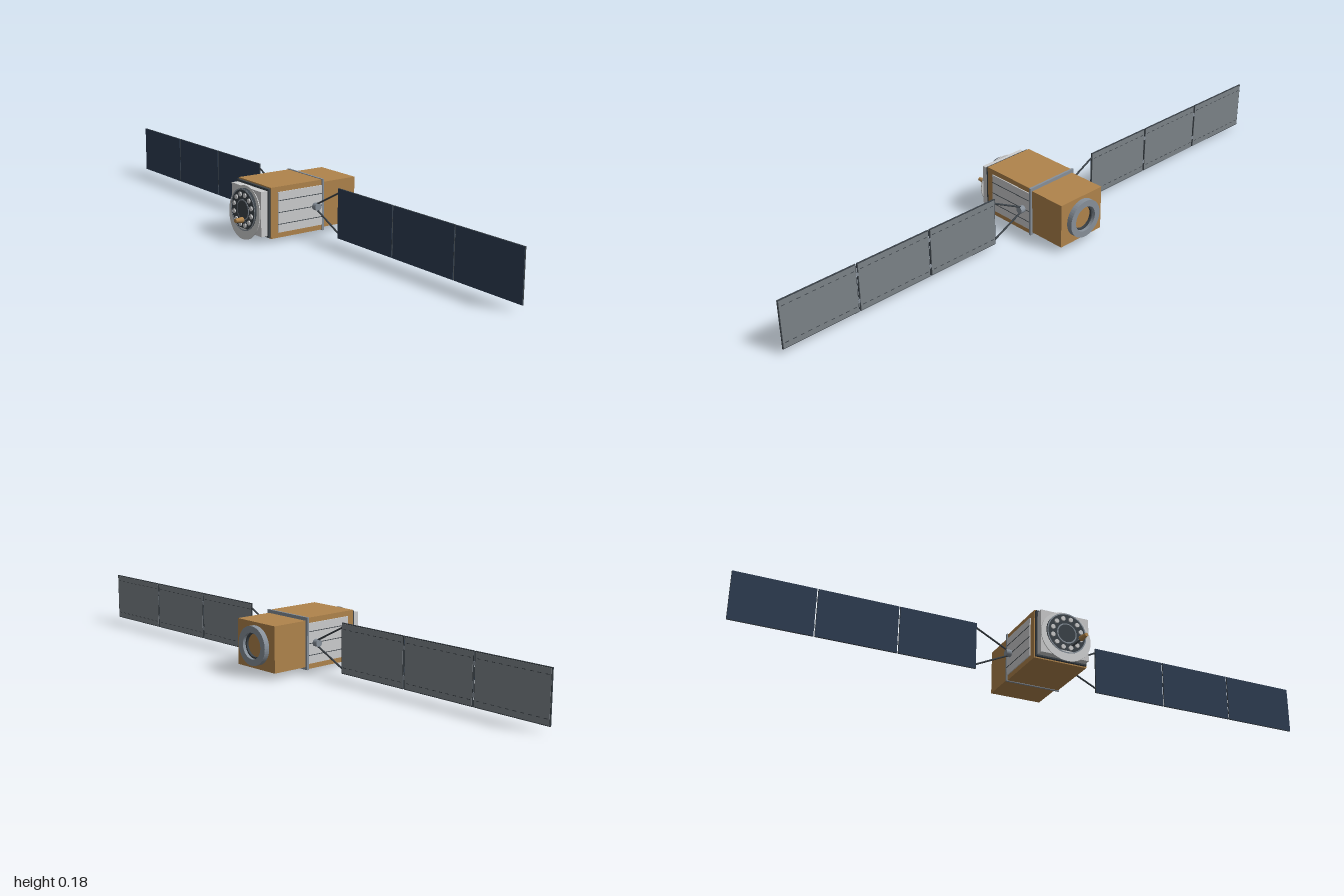
import * as THREE from 'three';

const mat = (name, color, side = THREE.FrontSide) => {
  const m = new THREE.MeshStandardMaterial({ color, side });
  m.name = name;
  return m;
};

export function createModel() {
  const gold = mat('gold foil', 0xb0844c);
  const light = mat('light grey', 0xcdcecf);
  const grey = mat('mid grey', 0x87909a);
  const dark = mat('dark grey', 0x3c4349);
  const navy = mat('solar navy', 0x2e3d52);
  const backGrey = mat('panel back grey', 0x7c8388);

  const model = new THREE.Group();
  model.name = 'satellite';
  const CY = 0.1; // height of the body axis
  const WZ = -0.042; // depth of the wing plane

  const add = (parent, name, geometry, material, x, y, z) => {
    const mesh = new THREE.Mesh(geometry, material);
    mesh.name = name;
    mesh.position.set(x, y, z);
    parent.add(mesh);
    return mesh;
  };
  const box = (parent, name, material, w, h, d, x, y, z) =>
    add(parent, name, new THREE.BoxGeometry(w, h, d), material, x, y, z);
  // Cylinder lying along z
  const disc = (parent, name, material, r, depth, x, y, z, sides = 40) =>
    add(parent, name, new THREE.CylinderGeometry(r, r, depth, sides).rotateX(Math.PI / 2), material, x, y, z);
  // Rod between two points
  const rod = (parent, name, material, a, b, r0, r1 = r0) => {
    const from = new THREE.Vector3(...a), to = new THREE.Vector3(...b);
    const dir = to.clone().sub(from);
    const mid = from.clone().add(to).multiplyScalar(0.5);
    const m = add(parent, name, new THREE.CylinderGeometry(r1, r0, dir.length(), 12), material, mid.x, mid.y, mid.z);
    m.quaternion.setFromUnitVectors(new THREE.Vector3(0, 1, 0), dir.normalize());
    return m;
  };
  // Flat ring with thickness, starting at z and growing forward
  const ring = (parent, name, material, outer, inner, depth, x, y, z) => {
    const s = new THREE.Shape().absarc(0, 0, outer, 0, Math.PI * 2, false);
    s.holes.push(new THREE.Path().absarc(0, 0, inner, 0, Math.PI * 2, true));
    const g = new THREE.ExtrudeGeometry(s, { depth, bevelEnabled: false, curveSegments: 24 });
    return add(parent, name, g, material, x, y, z);
  };

  // Foil-covered body, collar and rear module
  const body = new THREE.Group();
  body.name = 'body';
  model.add(body);
  box(body, 'mainBody', gold, 0.182, 0.164, 0.197, 0, CY, 0.0265);
  box(body, 'collar', grey, 0.19, 0.168, 0.007, 0, CY, -0.0735);
  box(body, 'rearModule', gold, 0.176, 0.148, 0.13, 0, 0.099, -0.14);
  box(body, 'frontFrame', dark, 0.176, 0.156, 0.009, 0, CY, 0.129);
  box(body, 'frontBox', light, 0.166, 0.144, 0.024, 0, 0.099, 0.145);

  // Rear docking ring
  ring(body, 'rearRing', grey, 0.063, 0.042, 0.018, 0, CY, -0.2235);
  ring(body, 'rearInnerRing', dark, 0.0425, 0.037, 0.008, 0, CY, -0.2125);

  // Radiator plates on both sides, with thin seams
  for (const s of [-1, 1]) {
    box(body, 'radiator', light, 0.004, 0.13, 0.169, s * 0.0925, CY, 0.0155);
    for (const y of [0.062, 0.1, 0.138])
      box(body, 'radiatorSeam', dark, 0.002, 0.002, 0.169, s * 0.0945, y, 0.0155);
  }

  // Front reflector, tilted slightly upward
  const front = new THREE.Group();
  front.name = 'frontAntenna';
  model.add(front);
  disc(front, 'reflector', light, 0.086, 0.003, 0, 0.0905, 0.1635, 48).rotation.x = -0.09;
  disc(front, 'arrayDisc', dark, 0.068, 0.014, 0, CY, 0.1625);
  ring(front, 'arrayRim', grey, 0.068, 0.064, 0.001, 0, CY, 0.1695);
  disc(front, 'arrayCentre', grey, 0.034, 0.002, 0, CY, 0.1695);
  disc(front, 'arrayCore', dark, 0.03, 0.002, 0, CY, 0.1702);
  const count = 12;
  for (let i = 0; i < count; i++) {
    const a = (i / count + 1 / 24) * Math.PI * 2;
    disc(front, 'arrayElement', light, 0.0075, 0.005, Math.cos(a) * 0.05, CY + Math.sin(a) * 0.05, 0.171, 12);
  }

  // Feed horn on an arm
  rod(front, 'feedArm', dark, [0.018, 0.06, 0.168], [0.037, 0.077, 0.2], 0.003);
  rod(front, 'feedHorn', gold, [0.036, 0.079, 0.196], [0.04, 0.081, 0.225], 0.0095, 0.006);

  // Solar wings, mirrored
  const panelW = 0.259, inner = 0.215, pitch = 0.263;
  for (const s of [-1, 1]) {
    const wing = new THREE.Group();
    wing.name = s > 0 ? 'leftWing' : 'rightWing';
    model.add(wing);
    // Hub and yoke
    add(wing, 'hub', new THREE.CylinderGeometry(0.012, 0.012, 0.02, 24).rotateZ(Math.PI / 2), grey, s * 0.102, CY, WZ);
    for (const v of [-1, 1])
      rod(wing, 'yokeStrut', dark, [s * 0.102, CY + v * 0.008, WZ], [s * 0.217, 0.102 + v * 0.065, WZ], 0.003);
    // Three panels with cells in front, plain backs and dark frames
    for (let i = 0; i < 3; i++) {
      const x = s * (inner + panelW / 2 + i * pitch);
      box(wing, 'panelFrame', dark, panelW, 0.16, 0.004, x, 0.102, WZ);
      box(wing, 'solarCells', navy, panelW - 0.001, 0.159, 0.001, x, 0.102, WZ + 0.0025);
      box(wing, 'panelBack', backGrey, panelW - 0.005, 0.155, 0.001, x, 0.102, WZ - 0.0025);
      // Dashed rows of fixings on the back
      for (const v of [-1, 1])
        for (let k = 0; k < 10; k++)
          box(wing, 'backDash', dark, 0.012, 0.002, 0.0006, x + (k - 4.5) * 0.0255, 0.102 + v * 0.06, WZ - 0.0032);
      // Hinges at the panel joints
      if (i < 2)
        for (const v of [-1, 1])
          box(wing, 'panelHinge', grey, 0.008, 0.012, 0.003, s * (inner + panelW + 0.002 + i * pitch), 0.102 + v * 0.045, WZ - 0.001);
    }
  }
  return model;
}
